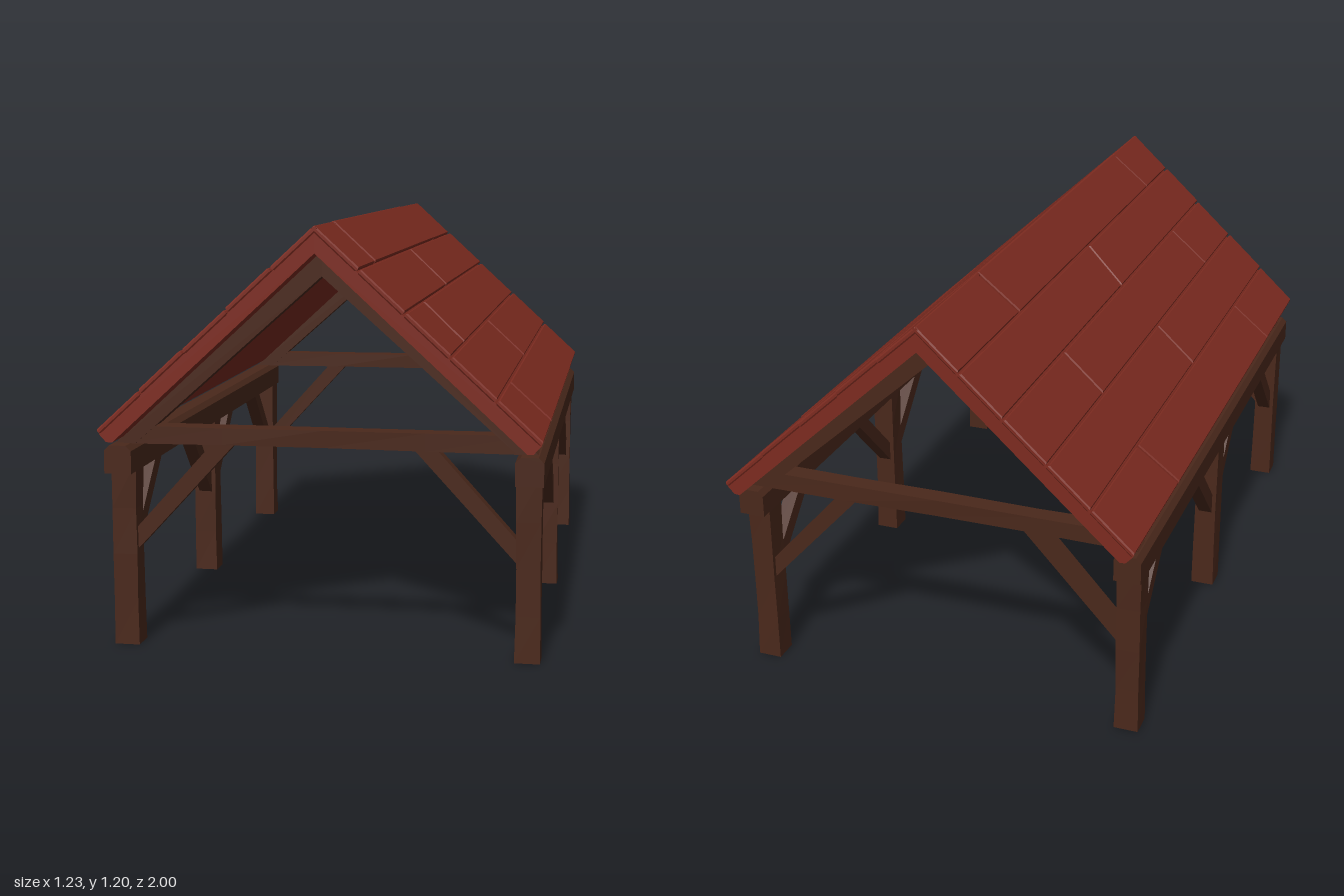
import * as THREE from 'three';

const wood = new THREE.MeshStandardMaterial({ color: 0x4a281b, flatShading: true });
const red = new THREE.MeshStandardMaterial({ color: 0x7d2b20, flatShading: true });

function add(parent, name, geometry, material) {
  const mesh = new THREE.Mesh(geometry, material);
  mesh.name = name;
  parent.add(mesh);
  return mesh;
}

// Polygon extruded along z, centred on z = 0
function slab(points, depth) {
  const shape = new THREE.Shape(points.map(([x, y]) => new THREE.Vector2(x, y)));
  return new THREE.ExtrudeGeometry(shape, { depth, bevelEnabled: false }).translate(0, 0, -depth / 2);
}

// Hewn timber: a box along one axis whose inner corners are worn slightly inwards
function timber(size, axis, seed) {
  const seg = [1, 1, 1];
  seg[axis] = 4;
  const geo = new THREE.BoxGeometry(...size, ...seg);
  const p = geo.attributes.position;
  for (let i = 0; i < p.count; i++) {
    const v = [p.getX(i), p.getY(i), p.getZ(i)];
    if (Math.abs(v[axis]) > size[axis] * 0.49) continue;
    const h = Math.sin(seed * 7.1 + Math.round(v[axis] * 100) * 12.9
      + Math.sign(v[(axis + 1) % 3]) * 3.7 + Math.sign(v[(axis + 2) % 3]) * 5.3) * 43.7;
    const k = 1 - 0.1 * (h - Math.floor(h));
    for (const a of [0, 1, 2]) if (a !== axis) v[a] *= k;
    p.setXYZ(i, ...v);
  }
  geo.computeVertexNormals();
  return geo;
}

// Joints of each course from ridge to eave: [z at upper edge, z at lower edge]
const JOINTS_LEFT = [
  [[-0.57, -0.56], [0.73, 0.73]],
  [[0.07, 0.085]],
  [[-0.52, -0.515], [0.665, 0.685]],
  [[0.04, 0.04]],
  [[-0.54, -0.535], [0.65, 0.64]],
];
const JOINTS_RIGHT = [
  [[-0.56, -0.54], [0.73, 0.755]],
  [[0.08, 0.055]],
  [[-0.52, -0.52], [0.645, 0.66]],
  [[0.04, 0.04]],
  [[-0.585, -0.56], [0.585, 0.605]],
];

// One roof slope: local x runs down the slope, local y is its normal
function roofSlope(name, joints) {
  const slope = new THREE.Group();
  slope.name = name;
  const angle = Math.atan(0.92), length = 0.838, course = length / 5;
  const thick = 0.055, skin = 0.013, mitre = Math.tan(angle);

  // Mitred backing panel with a chamfered eave
  add(slope, 'roofPanel', slab([
    [skin * mitre, -skin], [length, -skin], [length, -thick + 0.012],
    [length - 0.012, -thick], [thick * mitre, -thick],
  ], 1.994), red);

  // Planks in staggered courses
  joints.forEach((row, r) => {
    const cuts = [[-1, -1], ...row, [1, 1]];
    const s0 = r * course + (r ? 0.003 : 0), s1 = (r + 1) * course - 0.003;
    for (let i = 0; i + 1 < cuts.length; i++) {
      const a = cuts[i], b = cuts[i + 1];
      const ga = i ? 0.004 : 0, gb = i + 2 < cuts.length ? 0.004 : 0;
      const shape = new THREE.Shape([
        new THREE.Vector2(s0, -(a[0] + ga)), new THREE.Vector2(s1, -(a[1] + ga)),
        new THREE.Vector2(s1, -(b[1] - gb)), new THREE.Vector2(s0, -(b[0] - gb)),
      ]);
      const geo = new THREE.ExtrudeGeometry(shape, {
        depth: skin - 0.006, bevelThickness: 0.004, bevelSize: 0.003,
        bevelOffset: -0.003, bevelSegments: 1,
      });
      geo.rotateX(-Math.PI / 2).translate(0, -skin + 0.002 + ((r + i) % 2) * 0.002, 0);
      add(slope, 'roofPlank', geo, red);
    }
  });
  slope.position.y = 1.203;
  slope.rotation.z = -angle;
  return slope;
}

export function createModel() {
  const model = new THREE.Group();
  model.name = 'openShelter';
  const postX = 0.571, postZ = 0.863;

  // Posts, wall plates and lengthwise braces on each side
  for (const sx of [-1, 1]) {
    for (const sz of [-1, 0, 1]) {
      add(model, 'post', timber([0.072, 0.53, 0.072], 1, sx * 2 + sz), wood)
        .position.set(sx * postX, 0.265, sz * postZ);
      for (const dir of sz ? [-sz] : [-1, 1]) {
        const brace = slab([[-0.01, 0.26], [0.25, 0.52], [0.185, 0.52], [-0.01, 0.325]], 0.042);
        brace.rotateY(-dir * Math.PI / 2);
        add(model, 'lengthwiseBrace', brace, wood)
          .position.set(sx * postX, 0, sz * postZ + dir * 0.036);
      }
    }
    // Wall plate with chamfered upper edges
    add(model, 'wallPlate', slab([
      [-0.039, 0.505], [0.039, 0.505], [0.039, 0.57], [0.024, 0.585], [-0.024, 0.585], [-0.039, 0.57],
    ], 1.875), wood).position.set(sx * 0.574, 0, 0.006);
  }

  // Gable frames: tie beam, rafters and cross braces at both ends
  for (const sz of [-1, 1]) {
    const frame = new THREE.Group();
    frame.name = 'gableFrame';
    frame.position.z = sz * postZ;
    model.add(frame);
    add(frame, 'tieBeam', timber([1.14, 0.052, 0.06], 0, sz), wood).position.y = 0.609;
    for (const sx of [-1, 1]) {
      const side = (pts) => pts.map(([x, y]) => [sx * x, y]);
      add(frame, 'rafter', slab(side([[0, 1.06], [0, 1.132], [0.594, 0.585], [0.535, 0.585]]), 0.066), wood);
      add(frame, 'crossBrace', slab(side([
        [0.545, 0.27], [0.25, 0.59], [0.315, 0.59], [0.545, 0.335],
      ]), 0.042), wood);
    }
  }

  // Roof: the right slope is the left one turned round, so its joints are reversed
  model.add(roofSlope('leftRoofSlope', JOINTS_LEFT));
  const turned = new THREE.Group();
  turned.name = 'rightRoof';
  turned.rotation.y = Math.PI;
  turned.add(roofSlope('rightRoofSlope',
    JOINTS_RIGHT.map((row) => row.map(([a, b]) => [-a, -b]).reverse())));
  model.add(turned);
  return model;
}
